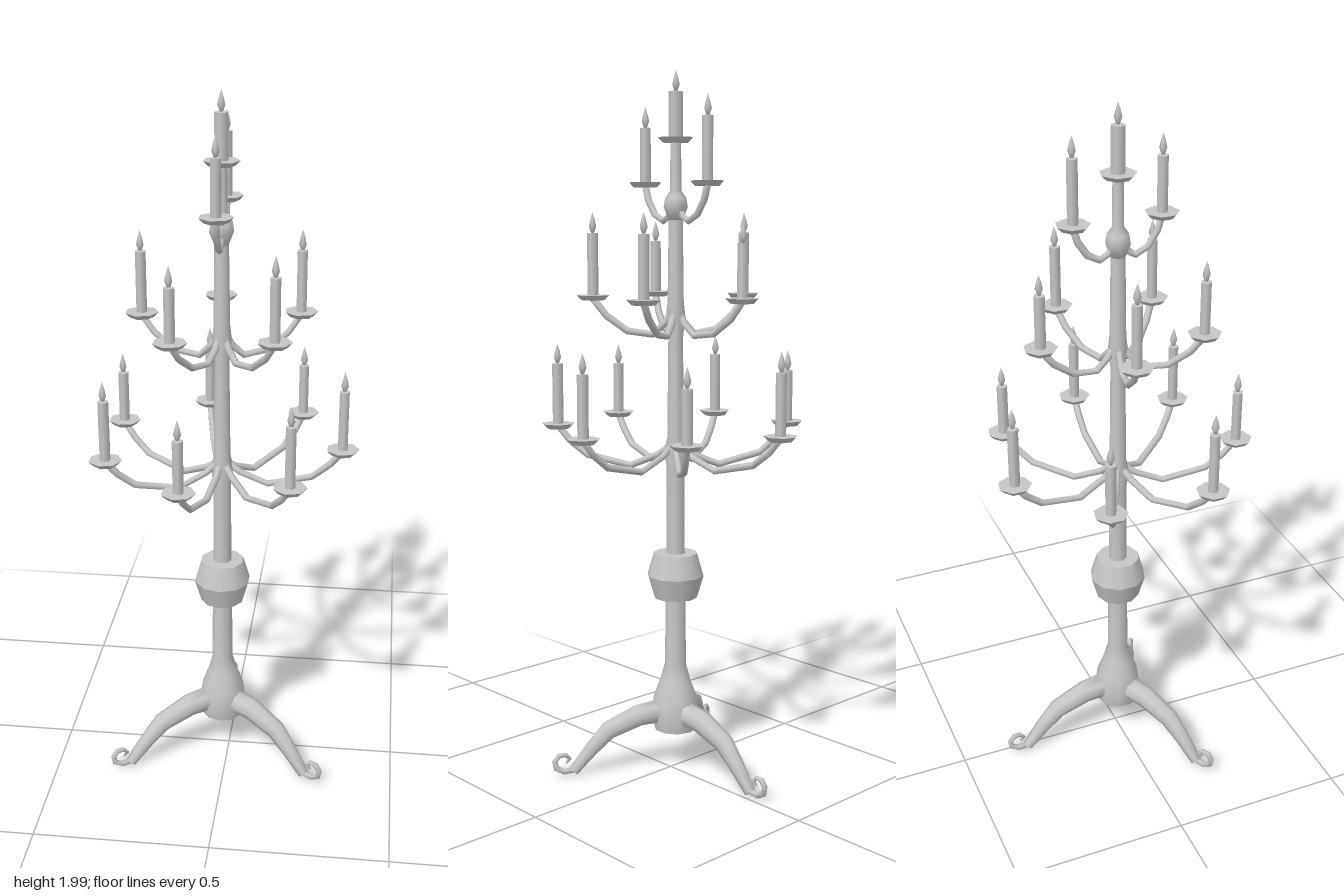
import * as THREE from 'three';

const metal = new THREE.MeshStandardMaterial({ color: 0xc6c6c6 });
metal.name = 'pale grey metal';

function mesh(name, geometry, y = 0) {
  const m = new THREE.Mesh(geometry, metal);
  m.name = name;
  m.position.y = y;
  return m;
}

// Tapered tube lying in the xy plane; each point is [x, y, radius].
function taperedTube(points, sides) {
  const pos = [], index = [];
  const last = points.length - 1;
  points.forEach(([x, y, r], i) => {
    const a = points[Math.max(i - 1, 0)], b = points[Math.min(i + 1, last)];
    const t = new THREE.Vector2(b[0] - a[0], b[1] - a[1]).normalize();
    for (let j = 0; j < sides; j++) {
      const q = (j / sides) * Math.PI * 2;
      pos.push(x - t.y * r * Math.cos(q), y + t.x * r * Math.cos(q), r * Math.sin(q));
      if (i < last) {
        const k = (j + 1) % sides, m = i * sides;
        index.push(m + j, m + k, m + sides + j, m + k, m + sides + k, m + sides + j);
      }
    }
  });
  // end caps
  for (let j = 1; j < sides - 1; j++) {
    const e = last * sides;
    index.push(0, j + 1, j, e, e + j, e + j + 1);
  }
  const g = new THREE.BufferGeometry();
  g.setAttribute('position', new THREE.Float32BufferAttribute(pos, 3));
  g.setIndex(index);
  g.computeVertexNormals();
  return g;
}

const lathe = (profile, sides = 10) =>
  new THREE.LatheGeometry(profile.map(([r, y]) => new THREE.Vector2(r, y)), sides);

// Drip plate, candle and flame standing on y = 0
function candle(height, radius, plateRadius) {
  const g = new THREE.Group();
  g.name = 'candle';
  g.add(mesh('dripPlate', new THREE.CylinderGeometry(plateRadius, plateRadius * 0.72, 0.014, 7, 1, false, Math.PI / 2), 0.007));
  g.add(mesh('candleStick', new THREE.CylinderGeometry(radius, radius, height, 6), 0.014 + height / 2));
  g.add(mesh('flame', lathe([[0, 0], [0.005, 0.002], [0.011, 0.018], [0.007, 0.036], [0, 0.058]], 5), 0.014 + height));
  return g;
}

// Ring of curved arms carrying candles
function tier(name, { count, start, path, plateY, radius, heights }) {
  const g = new THREE.Group();
  g.name = name;
  for (let i = 0; i < count; i++) {
    const angle = start + (i / count) * Math.PI * 2;
    const arm = mesh('arm', taperedTube(path.map(([x, y]) => [x, y, 0.01]), 6));
    arm.rotation.y = -angle;
    const c = candle(heights[i], 0.0155, 0.047);
    c.position.set(radius * Math.cos(angle), plateY, radius * Math.sin(angle));
    g.add(arm, c);
  }
  return g;
}

export function createModel() {
  const model = new THREE.Group();
  model.name = 'candelabra';
  const body = new THREE.Group();
  body.name = 'candelabraBody';
  body.position.x = -0.02;
  model.add(body);

  // Column, knop and hubs
  body.add(mesh('base', lathe([[0.063, 0.125], [0.07, 0.165], [0.064, 0.22], [0.045, 0.27], [0.031, 0.32], [0.029, 0.53]])));
  body.add(mesh('baseUnderside', new THREE.CylinderGeometry(0.063, 0.063, 0.004, 10), 0.127));
  body.add(mesh('knopLower', new THREE.CylinderGeometry(0.082, 0.063, 0.065, 10), 0.5525));
  body.add(mesh('knopUpper', new THREE.CylinderGeometry(0.063, 0.082, 0.065, 10), 0.6175));
  body.add(mesh('column', lathe([
    [0.027, 0.64], [0.026, 0.9], [0.033, 0.945], [0.024, 0.985],
    [0.021, 1.27], [0.028, 1.325], [0.023, 1.37], [0.02, 1.6],
  ])));
  body.add(mesh('topHub', lathe([[0, 1.59], [0.02, 1.595], [0.034, 1.63], [0.03, 1.655], [0.016, 1.675], [0.015, 1.81]])));

  // Candle tiers
  const tall = 0.172, short = 0.147;
  body.add(tier('lowerTier', {
    count: 7, start: 0, radius: 0.34, plateY: 1.005,
    path: [[0.01, 0.965], [0.05, 0.935], [0.13, 0.902], [0.255, 0.93], [0.305, 0.97], [0.338, 1.01]],
    heights: [tall, tall, short, tall, short, tall, short],
  }));
  body.add(tier('middleTier', {
    count: 5, start: -0.44, radius: 0.232, plateY: 1.373,
    path: [[0.01, 1.345], [0.03, 1.31], [0.065, 1.278], [0.135, 1.287], [0.195, 1.33], [0.232, 1.378]],
    heights: [tall, tall, short, tall, short],
  }));
  body.add(tier('upperTier', {
    count: 2, start: Math.PI / 2, radius: 0.124, plateY: 1.686,
    path: [[0.01, 1.635], [0.028, 1.605], [0.05, 1.592], [0.085, 1.61], [0.112, 1.65], [0.124, 1.69]],
    heights: [0.15, tall],
  }));
  const top = candle(0.123, 0.02, 0.05);
  top.name = 'topCandle';
  top.position.y = 1.805;
  body.add(top);

  // Three legs with curled claws
  for (let i = 0; i < 3; i++) {
    const leg = new THREE.Group();
    leg.name = 'leg';
    leg.rotation.y = Math.PI / 2 + (i * Math.PI * 2) / 3;
    leg.add(mesh('legShaft', taperedTube([
      [0.03, 0.18, 0.037], [0.11, 0.17, 0.033], [0.2, 0.132, 0.028], [0.25, 0.08, 0.022], [0.303, 0.018, 0.016],
    ], 8)));
    leg.add(mesh('claw', taperedTube([
      [0.298, 0.022, 0.009], [0.33, 0.018, 0.009], [0.353, 0.03, 0.009], [0.358, 0.05, 0.008],
      [0.345, 0.067, 0.008], [0.325, 0.068, 0.007], [0.314, 0.055, 0.006], [0.325, 0.044, 0.004],
    ], 6)));
    body.add(leg);
  }
  return model;
}
